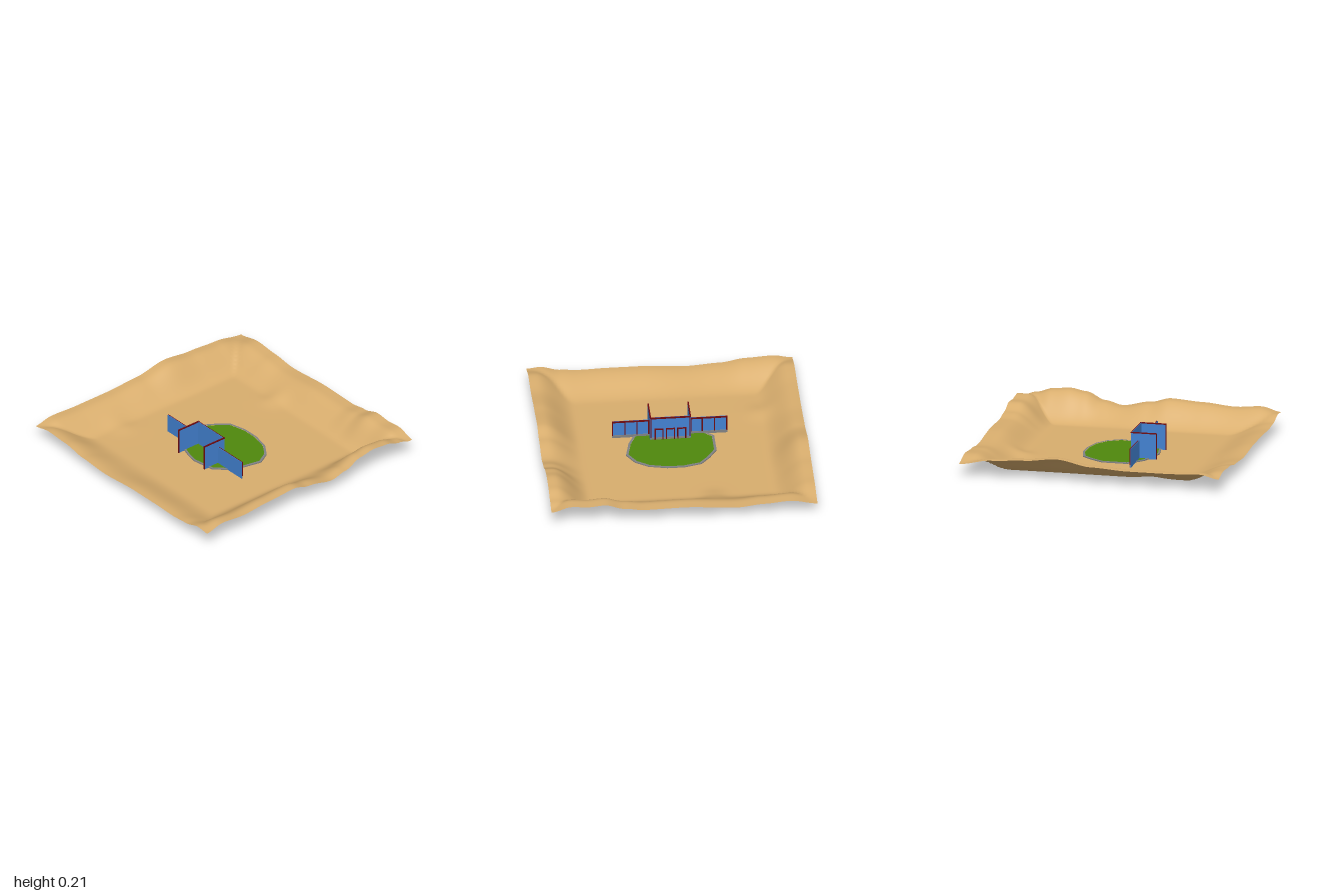
import * as THREE from 'three';

const mat = (name, color, side = THREE.FrontSide) => {
  const m = new THREE.MeshStandardMaterial({ color, side });
  m.name = name;
  return m;
};

// Rim heights along each side, as [position, height]
const rims = {
  front: [[-1, 0.1], [-0.85, 0.125], [-0.65, 0.115], [-0.45, 0.085], [-0.2, 0.07], [0.15, 0.09], [0.4, 0.09], [0.6, 0.085], [0.75, 0.095], [0.9, 0.13], [1, 0.12]],
  back: [[-1, 0.1], [-0.8, 0.135], [-0.6, 0.12], [-0.4, 0.1], [0, 0.125], [0.3, 0.12], [0.45, 0.14], [0.6, 0.18], [0.72, 0.17], [0.85, 0.18], [1, 0.14]],
  right: [[-1, 0.13], [-0.88, 0.165], [-0.75, 0.2], [-0.62, 0.21], [-0.5, 0.19], [-0.35, 0.13], [-0.22, 0.1], [0, 0.14], [0.15, 0.175], [0.4, 0.16], [0.65, 0.14], [0.85, 0.155], [1, 0.12]],
  left: [[-1, 0.1], [-0.75, 0.14], [-0.5, 0.155], [-0.25, 0.18], [0.02, 0.135], [0.3, 0.12], [0.6, 0.12], [0.85, 0.13], [1, 0.1]],
};

function rimHeight(profile, t) {
  let i = 0;
  while (i < profile.length - 2 && t > profile[i + 1][0]) i++;
  const [a, ha] = profile[i], [b, hb] = profile[i + 1];
  return ha + (hb - ha) * THREE.MathUtils.smoothstep(t, a, b);
}

function groundHeight(x, z) {
  const ramp = THREE.MathUtils.smoothstep;
  const bump = (cx, cz, r, h) => h * Math.exp(-((x - cx) ** 2 + (z - cz) ** 2) / (r * r));
  const h = Math.max(
    rimHeight(rims.front, x) * ramp(z, 0.66, 0.98),
    rimHeight(rims.back, x) * ramp(-z, 0.67, 0.92),
    rimHeight(rims.right, z) * ramp(x, 0.67, 0.95),
    rimHeight(rims.left, z) * ramp(-x, 0.69, 0.95));
  return h + bump(-0.25, -0.7, 0.09, 0.02) + bump(-0.7, 0.42, 0.1, 0.015);
}

export function createModel() {
  const model = new THREE.Group();
  const sand = mat('sand', 0xd9ae6e, THREE.DoubleSide);
  const grass = mat('grass green', 0x50890d);
  const stone = mat('stone grey', 0x808284);
  const blue = mat('wall blue', 0x4382d2);
  const red = mat('frame dark red', 0x6e0a10);

  const add = (parent, name, geometry, material) => {
    const mesh = new THREE.Mesh(geometry, material);
    mesh.name = name;
    parent.add(mesh);
    return mesh;
  };
  // Box given by its lower and upper corners
  const box = (parent, name, material, x0, y0, z0, x1, y1, z1) =>
    add(parent, name, new THREE.BoxGeometry(x1 - x0, y1 - y0, z1 - z0), material)
      .position.set((x0 + x1) / 2, (y0 + y1) / 2, (z0 + z1) / 2);

  // Rolling ground with a flat middle
  const ground = new THREE.PlaneGeometry(2, 2, 90, 90).rotateX(-Math.PI / 2);
  const p = ground.attributes.position;
  for (let i = 0; i < p.count; i++) p.setY(i, groundHeight(p.getX(i), p.getZ(i)));
  ground.computeVertexNormals();
  add(model, 'ground', ground, sand);

  // Lawn with a stone kerb
  const outline = [[-0.07, -0.268], [0.06, -0.268], [0.2, -0.235], [0.295, -0.17], [0.352, -0.07], [0.32, 0.08],
    [0.27, 0.19], [0.19, 0.275], [0.01, 0.305], [-0.08, 0.287], [-0.21, 0.24], [-0.33, 0.135], [-0.33, -0.06],
    [-0.27, -0.155], [-0.2, -0.235]];
  const ringPoints = s => outline.map(([x, z]) => new THREE.Vector2(0.01 + (x - 0.01) * s, -(0.015 + (z - 0.015) * s)));
  const slab = (shape, depth) =>
    new THREE.ExtrudeGeometry(shape, { depth, bevelEnabled: false }).rotateX(-Math.PI / 2);
  const kerb = new THREE.Shape(ringPoints(1));
  kerb.holes.push(new THREE.Path(ringPoints(0.945)));
  add(model, 'kerb', slab(kerb, 0.008), stone);
  add(model, 'lawn', slab(new THREE.Shape(ringPoints(0.945)), 0.006), grass);

  // Facade panel: blue sheet with a red frame and stone footing on its back
  const facade = new THREE.Group();
  facade.name = 'facade';
  model.add(facade);
  const panel = (name, x0, x1, z, height, posts) => {
    const g = new THREE.Group();
    g.name = name;
    facade.add(g);
    box(g, 'wallSheet', blue, x0, 0, z - 0.004, x1, height, z);
    box(g, 'topRail', red, x0, height - 0.012, z - 0.01, x1, height, z - 0.004);
    box(g, 'footing', stone, x0, 0, z - 0.009, x1, 0.022, z - 0.004);
    for (const x of posts) box(g, 'post', red, x - 0.004, 0.022, z - 0.01, x + 0.004, height - 0.012, z - 0.004);
    return g;
  };

  const centre = panel('centreWall', -0.15, 0.15, 0.13, 0.2, [-0.146, 0.146]);

  // Three framed doorways on the back of the centre wall
  for (const x of [-0.085, 0, 0.085]) {
    for (const s of [-1, 1]) box(centre, 'doorPost', red, x + s * 0.03 - 0.004, 0, 0.118, x + s * 0.03 + 0.004, 0.1, 0.126);
    box(centre, 'doorLintel', red, x - 0.034, 0.092, 0.118, x + 0.034, 0.1, 0.126);
  }

  for (const s of [-1, 1]) {
    // Low side wing
    const a = s * 0.15, b = s * 0.433;
    panel('wing', Math.min(a, b), Math.max(a, b), 0.188, 0.145, [0.158, 0.245, 0.337, 0.429].map(x => s * x));

    // Tall fin with red edging
    const x = s * 0.15;
    box(facade, 'fin', blue, x - 0.004, 0, 0.122, x + 0.004, 0.194, 0.314);
    box(facade, 'finCap', red, x - 0.005, 0.194, 0.12, x + 0.005, 0.202, 0.32);
    box(facade, 'finEdge', red, x - 0.005, 0, 0.314, x + 0.005, 0.194, 0.32);
  }
  return model;
}
